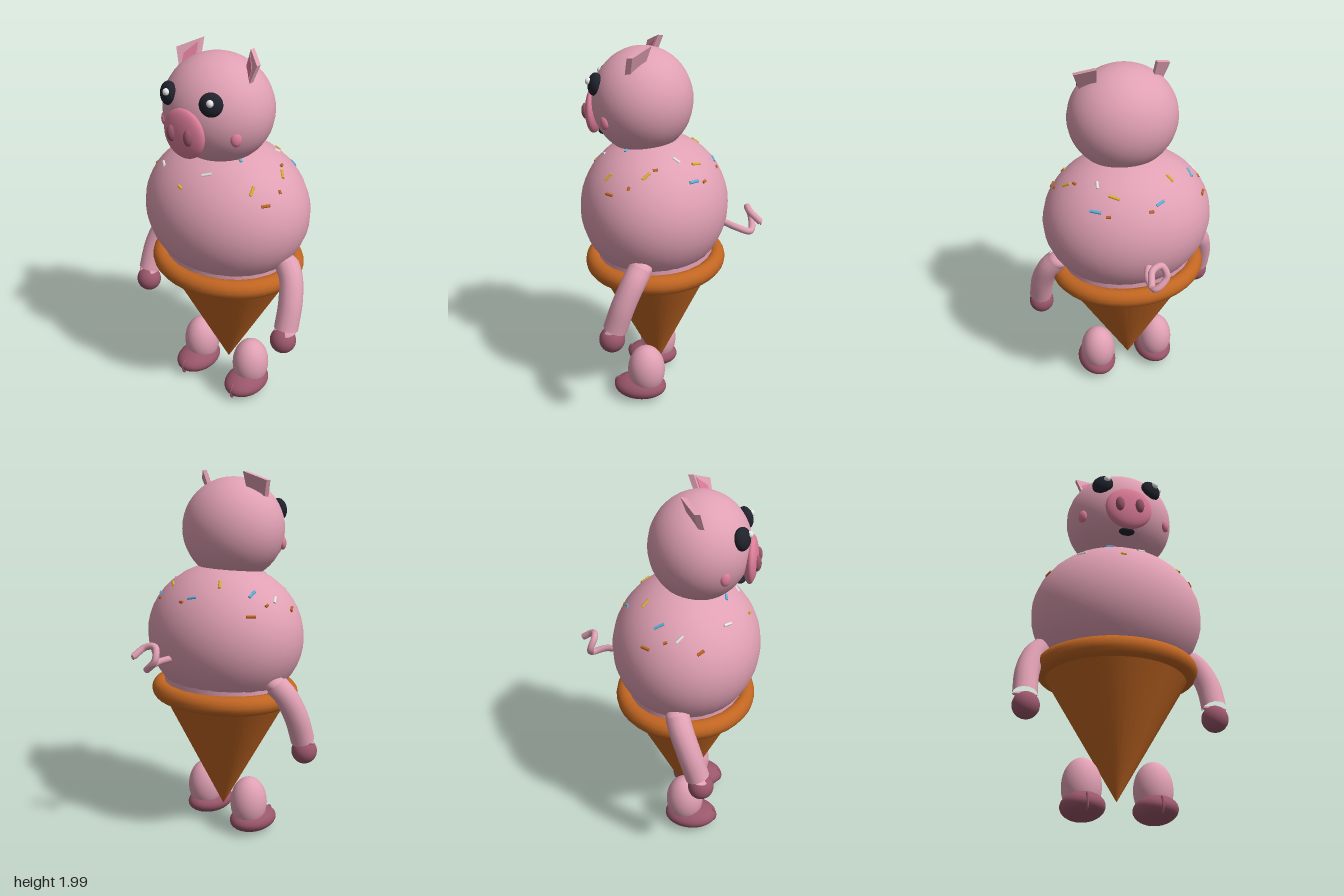
import * as THREE from 'three';

const mat = (name, color) => {
  const m = new THREE.MeshStandardMaterial({ color });
  m.name = name;
  return m;
};

export function createModel() {
  const pink = mat('pink skin', 0xe0a0b4);
  const rose = mat('rose', 0xdc7c98);
  const mauve = mat('mauve', 0x99566a);
  const orange = mat('wafer orange', 0xc26622);
  const black = mat('eye black', 0x20222c);
  const white = mat('white', 0xeeeeee);
  const yellow = mat('yellow', 0xdcae2c);
  const blue = mat('sky blue', 0x5cb4e0);

  const model = new THREE.Group();
  model.name = 'pigCone';
  const add = (name, geo, material, pos = [0, 0, 0], scale = [1, 1, 1], rot = [0, 0, 0]) => {
    const mesh = new THREE.Mesh(geo, material);
    mesh.name = name;
    mesh.position.set(...pos);
    mesh.scale.set(...scale);
    mesh.rotation.set(...rot);
    model.add(mesh);
    return mesh;
  };
  const ball = new THREE.SphereGeometry(1, 32, 24);
  const tube = (pts, r, segments) => new THREE.TubeGeometry(
    new THREE.CatmullRomCurve3(pts.map(p => new THREE.Vector3(...p))), segments, r, 14);

  // Scoop body and head
  const C = new THREE.Vector3(0, 1.12, 0.093);
  const R = new THREE.Vector3(0.46, 0.39, 0.394);
  add('body', ball, pink, C.toArray(), R.toArray());
  add('head', ball, pink, [0, 1.685, 0.152], [0.291, 0.275, 0.262]);
  add('scoopSkirt', new THREE.CylinderGeometry(1, 1, 0.03, 24), pink, [0, 0.87, 0.09], [0.36, 1, 0.31]);

  // Wafer cone, point down, with rolled rim
  const cone = new THREE.ConeGeometry(0.4, 0.69, 40).rotateX(Math.PI);
  add('cone', cone, orange, [0, 0.465, 0.088], [1, 1, 0.82]);
  const rim = new THREE.TorusGeometry(0.378, 0.052, 14, 40).rotateX(Math.PI / 2);
  add('coneRim', rim, orange, [0, 0.81, 0.09], [1, 1, 0.885]);

  // Snout and mouth
  add('snout', ball, rose, [0, 1.625, 0.41], [0.125, 0.125, 0.038]);
  add('mouth', ball, black, [0, 1.512, 0.36], [0.042, 0.018, 0.03]);

  // Ear outline, leaning back as it rises and forward as it spreads
  const lean = new THREE.Matrix4().set(1, 0, 0, 0, 0, 1, 0, 0, 0.6, -0.42, 1, -0.093, 0, 0, 0, 1);
  const earGeo = (pts, depth) => new THREE.ExtrudeGeometry(
    new THREE.Shape(pts.map(p => new THREE.Vector2(...p))), { depth, bevelEnabled: false }).applyMatrix4(lean);
  const outerEar = earGeo([[0.145, -0.03], [0.215, -0.035], [0.25, 0.065], [0.155, 0.11]], 0.028);
  const innerEar = earGeo([[0.153, -0.02], [0.208, -0.02], [0.21, 0.04], [0.163, 0.092]], 0.006);

  const armGeo = tube([[0.395, 0.905, 0.095], [0.44, 0.85, 0.12], [0.475, 0.74, 0.165], [0.485, 0.6, 0.212]], 0.063, 16);

  // Paired parts
  for (const s of [1, -1]) {
    const side = s > 0 ? 'left' : 'right';
    add(side + 'Nostril', ball, mauve, [s * 0.053, 1.627, 0.443], [0.024, 0.042, 0.022]);
    add(side + 'Eye', ball, black, [s * 0.133, 1.787, 0.367], [0.058, 0.058, 0.036], [-0.2, s * 0.42, 0]);
    add(side + 'EyeShine', ball, white, [s * 0.133 + 0.018, 1.805, s > 0 ? 0.396 : 0.402], [0.018, 0.018, 0.016]);
    add(side + 'Cheek', ball, rose, [s * 0.228, 1.615, 0.3], [0.028, 0.035, 0.018], [0, s * 0.9, 0]);
    add(side + 'Ear', outerEar, pink, [0, 1.88, 0.117], [s, 1, 1]);
    add(side + 'InnerEar', innerEar, rose, [0, 1.88, 0.143], [s, 1, 1]);

    // Arm and hand
    add(side + 'Arm', armGeo, pink, [0, 0, 0], [s, 1, 1]);
    add(side + 'Shoulder', ball, pink, [s * 0.395, 0.905, 0.095], [0.061, 0.045, 0.061]);
    add(side + 'Wrist', ball, pink, [s * 0.485, 0.6, 0.212], [0.062, 0.015, 0.062], [0.35, 0, 0]);
    add(side + 'Hand', ball, mauve, [s * 0.48, 0.537, 0.23], [0.069, 0.069, 0.067]);

    // Leg, hoof and the split at its toe
    add(side + 'Leg', ball, pink, [s * 0.18, 0.18, 0.114], [0.1, 0.145, 0.104]);
    add(side + 'Hoof', ball, mauve, [s * 0.18, 0.073, 0.15], [0.11, 0.068, 0.147]);
    add(side + 'HoofSplit', ball, mauve, [s * 0.18, 0.07, 0.278], [0.009, 0.046, 0.022]);
  }

  // Curly tail
  add('tail', tube([[0, 1.04, -0.27], [0.035, 1.02, -0.36], [0.02, 1.0, -0.43], [-0.043, 1.06, -0.425],
    [-0.02, 1.12, -0.405], [0.035, 1.115, -0.425], [0.06, 1.07, -0.485]], 0.018, 48), pink);
  add('tailTip', ball, pink, [0.06, 1.07, -0.485], [0.016, 0.016, 0.006]);

  // Sprinkles half sunk in the scoop: x, z, heading, length
  const sprinkles = [
    [yellow, [[-0.17, -0.1, 0.9, 0.05], [0.145, -0.15, 0.8, 0.06], [0.335, 0.07, 0.5, 0.05], [0.3, 0.27, 1, 0.05], [-0.03, 0.42, 0.6, 0.03]]],
    [blue, [[-0.08, -0.21, -0.6, 0.05], [0.245, -0.155, 0.7, 0.06], [-0.315, -0.01, 1.1, 0.055], [-0.08, 0.3, -0.3, 0.04], [0.17, 0.2, 0.5, 0.04]]],
    [white, [[-0.37, 0.1, 0.5, 0.045], [0.205, -0.06, -1.2, 0.04], [-0.23, 0.32, 0.8, 0.05], [0.08, 0.347, -0.7, 0.05]]],
    [orange, [[-0.025, -0.235, 0, 0.025], [-0.37, -0.07, -1, 0.05], [-0.39, 0.205, 0.4, 0.04], [0.19, -0.2, 0.2, 0.025],
      [0.3, 0.03, 1.2, 0.025], [0.37, 0.25, -1, 0.045], [0.38, 0.15, 0.3, 0.02], [-0.38, 0.03, 1, 0.02]]],
  ];
  const up = new THREE.Vector3(0, 1, 0);
  for (const [material, list] of sprinkles) {
    for (const [x, z, a, length] of list) {
      const u = x / R.x, w = (z - C.z) / R.z;
      const v = Math.sqrt(Math.max(0, 1 - u * u - w * w));
      const normal = new THREE.Vector3(u / R.x, v / R.y, w / R.z).normalize();
      const heading = new THREE.Vector3(Math.cos(a), 0, Math.sin(a)).projectOnPlane(normal).normalize();
      const mesh = add('sprinkle', new THREE.CylinderGeometry(0.008, 0.008, length, 8), material, [x, C.y + v * R.y, z]);
      mesh.position.addScaledVector(normal, -0.002);
      mesh.quaternion.setFromUnitVectors(up, heading);
    }
  }
  return model;
}
